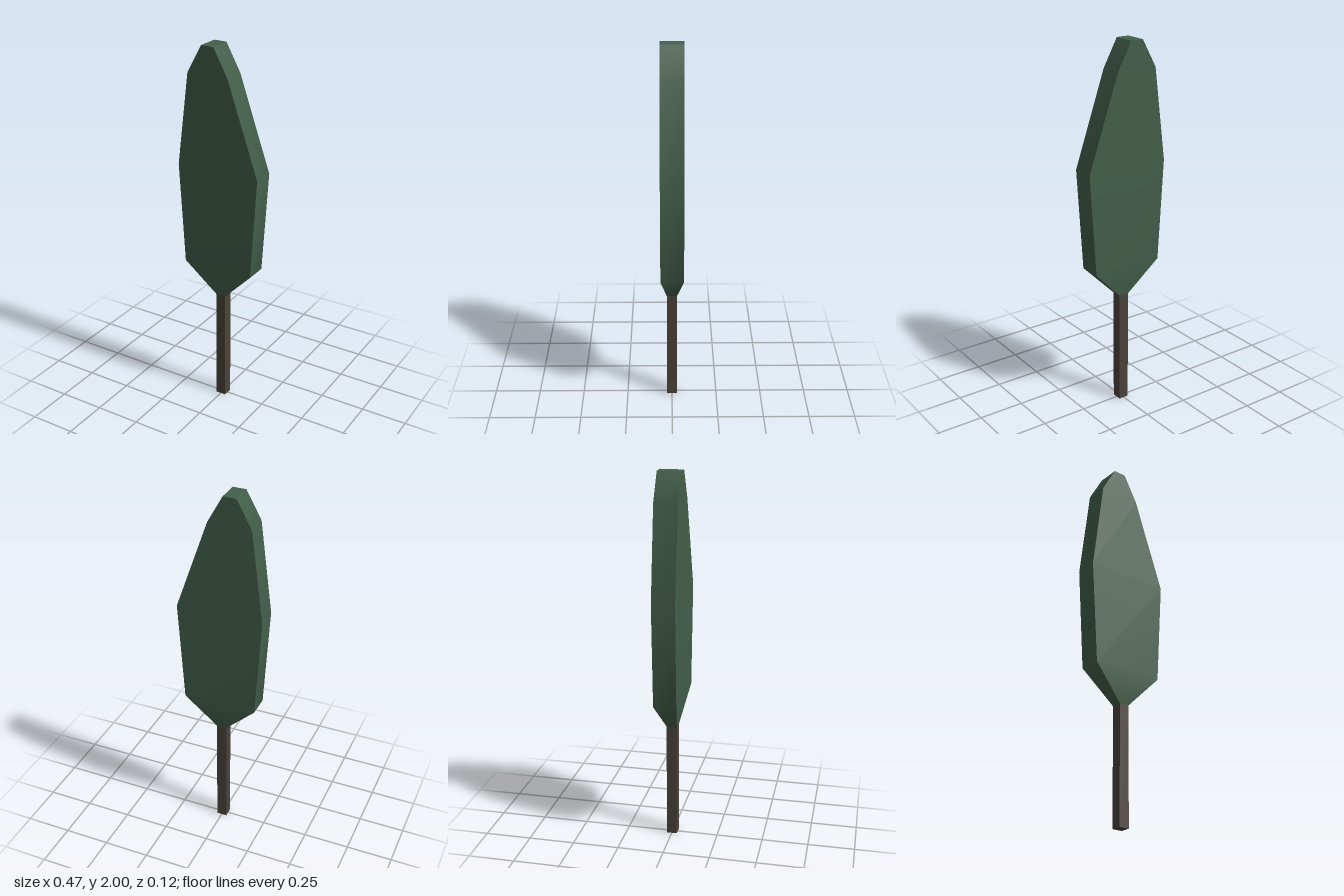
import * as THREE from 'three';

// Crown cross-sections from bottom to top: y, left x, right x, half depth
const RINGS = [
  [0.635, -0.028, 0.028, 0.028],
  [0.81, -0.2, 0.198, 0.061],
  [1.36, -0.233, 0.233, 0.061],
  [1.855, -0.17, 0.06, 0.061],
  [2.0, -0.09, -0.02, 0.061],
];

// Four corners of a section, counter-clockwise seen from above
const corners = ([y, x0, x1, d]) => [[x0, y, d], [x1, y, d], [x1, y, -d], [x0, y, -d]];

// Each side is its own strip: smooth along its height, sharp at the corners
function crownGeometry() {
  const pos = [], index = [];
  const sections = RINGS.map(corners);
  for (let side = 0; side < 4; side++) {
    const start = pos.length / 3;
    for (const s of sections) pos.push(...s[side], ...s[(side + 1) % 4]);
    for (let i = 0; i < sections.length - 1; i++) {
      const a = start + i * 2;
      index.push(a, a + 1, a + 3, a, a + 3, a + 2);
    }
  }
  // Flat caps at the tip and the base
  for (const cap of [sections.at(-1), [...sections[0]].reverse()]) {
    const a = pos.length / 3;
    pos.push(...cap.flat());
    index.push(a, a + 1, a + 2, a, a + 2, a + 3);
  }
  const geometry = new THREE.BufferGeometry();
  geometry.setAttribute('position', new THREE.Float32BufferAttribute(pos, 3));
  geometry.setIndex(index);
  geometry.computeVertexNormals();
  return geometry;
}

export function createModel() {
  const tree = new THREE.Group();
  tree.name = 'tree';

  // Square trunk
  const trunk = new THREE.Mesh(
    new THREE.BoxGeometry(0.056, 0.635, 0.056).translate(0, 0.3175, 0),
    new THREE.MeshStandardMaterial({ color: 0x4b4339 }),
  );
  trunk.name = 'trunk';

  // Flat, lopsided crown
  const crown = new THREE.Mesh(
    crownGeometry(),
    new THREE.MeshStandardMaterial({ color: 0x435f4b }),
  );
  crown.name = 'crown';

  tree.add(trunk, crown);
  return tree;
}
